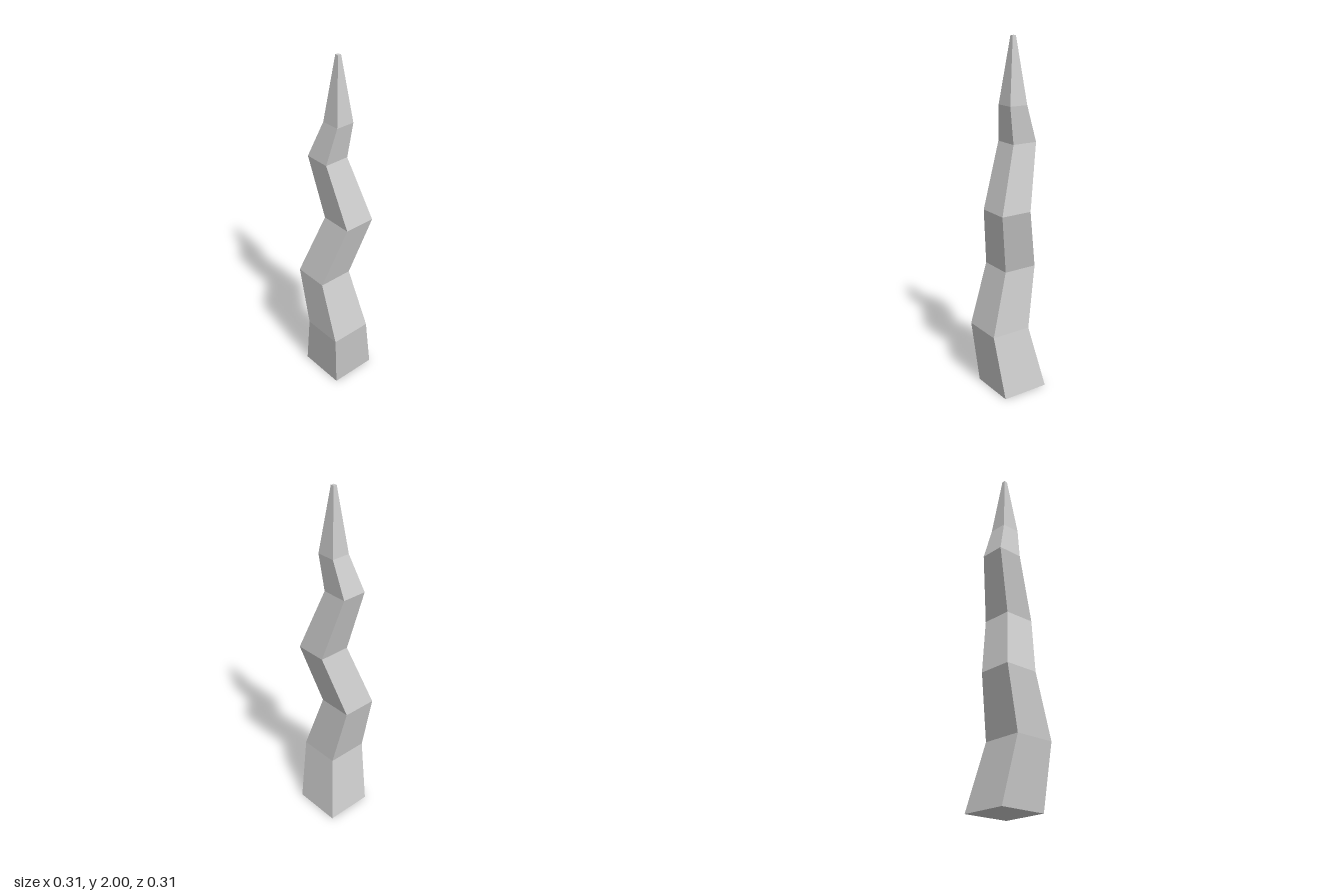
import * as THREE from 'three';

// Square cross-sections from base to tip: y, x min, x max, z min, z max
const SECTIONS = [
  [0, -0.12, 0.155, -0.157, 0.123],
  [0.365, -0.154, 0.086, -0.083, 0.155],
  [0.72, -0.157, 0.043, -0.155, 0.045],
  [1.08, -0.047, 0.135, -0.055, 0.128],
  [1.44, -0.085, 0.059, -0.143, 0.005],
  [1.645, -0.036, 0.072, -0.073, 0.035],
  [2, 0.008, 0.028, -0.03, -0.01],
];

export function createModel() {
  const group = new THREE.Group();
  group.name = 'crookedSpike';

  // Segmented unit box whose rings are moved onto the cross-sections
  const rings = SECTIONS.length - 1;
  const box = new THREE.BoxGeometry(1, 1, 1, 1, rings, 1);
  const pos = box.attributes.position;
  for (let i = 0; i < pos.count; i++) {
    const [y, x0, x1, z0, z1] = SECTIONS[Math.round((pos.getY(i) + 0.5) * rings)];
    pos.setXYZ(i, pos.getX(i) < 0 ? x0 : x1, y, pos.getZ(i) < 0 ? z0 : z1);
  }

  // Flat facets
  const geometry = box.toNonIndexed();
  geometry.computeVertexNormals();

  const spike = new THREE.Mesh(
    geometry,
    new THREE.MeshStandardMaterial({ color: 0xcccccc, flatShading: true })
  );
  spike.name = 'spike';
  group.add(spike);
  return group;
}
